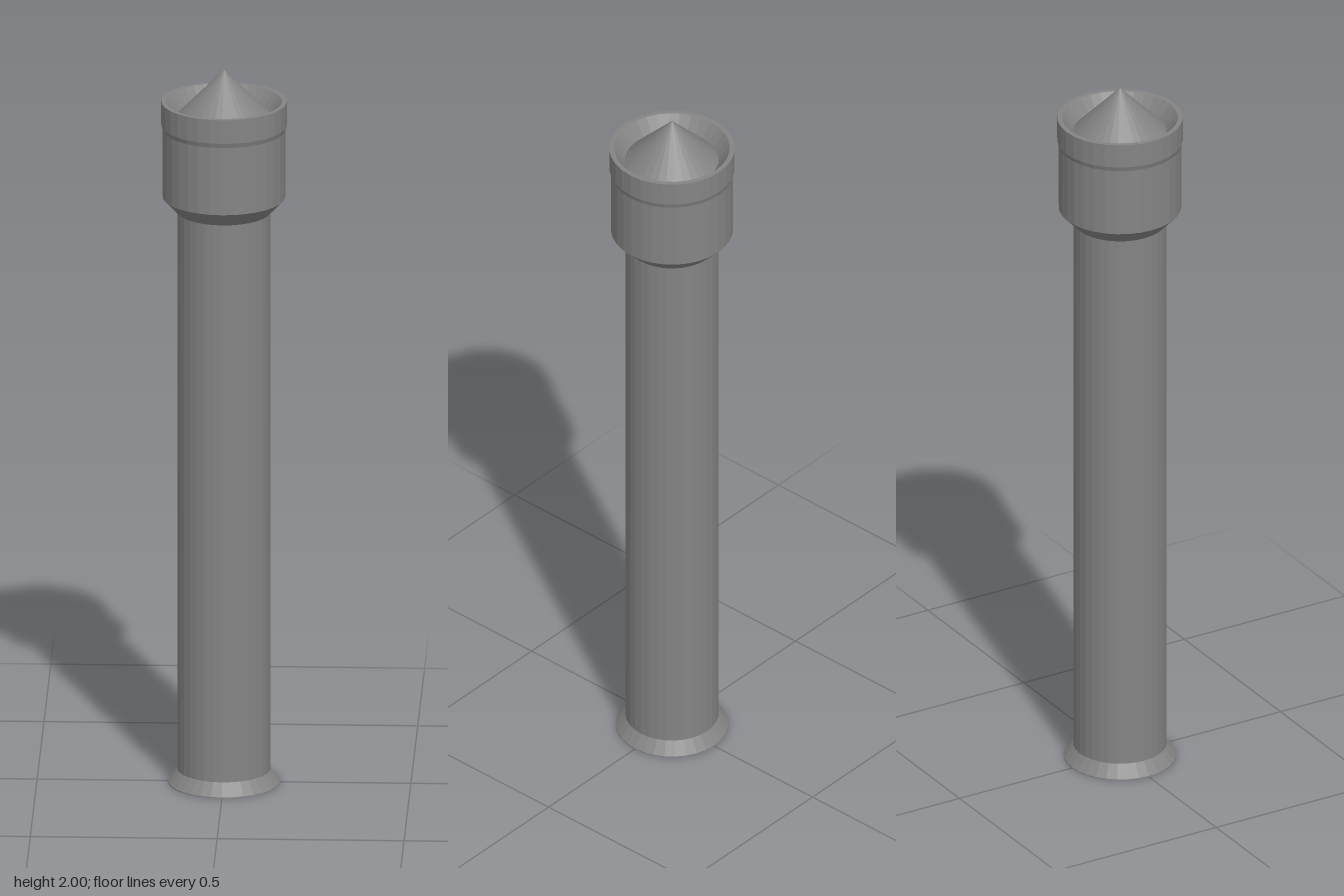
import * as THREE from 'three';

const SIDES = 32;

export function createModel() {
  const model = new THREE.Group();
  const material = new THREE.MeshStandardMaterial({ color: 0x848484, flatShading: true });

  // Turns a profile of [radius, height] pairs, listed bottom to top on the outside
  const turn = (name, profile) => {
    const points = profile.map(([r, y]) => new THREE.Vector2(r, y));
    const mesh = new THREE.Mesh(new THREE.LatheGeometry(points, SIDES), material);
    mesh.name = name;
    model.add(mesh);
  };

  // Flared foot, closed underneath
  turn('foot', [[0, 0], [0.151, 0], [0.151, 0.003], [0.125, 0.037]]);

  // Long straight column
  turn('shaft', [[0.125, 0.037], [0.125, 1.602]]);

  // Wider head on a tapered collar
  turn('collar', [[0.125, 1.602], [0.164, 1.643]]);
  turn('head', [[0.164, 1.643], [0.164, 1.832]]);

  // Raised band, flat lip and sloping inner wall
  turn('rim', [[0.164, 1.832], [0.168, 1.845], [0.168, 1.911], [0.155, 1.911], [0.125, 1.872]]);

  // Pointed cap set inside the rim
  turn('cap', [[0.125, 1.872], [0, 2]]);

  return model;
}
